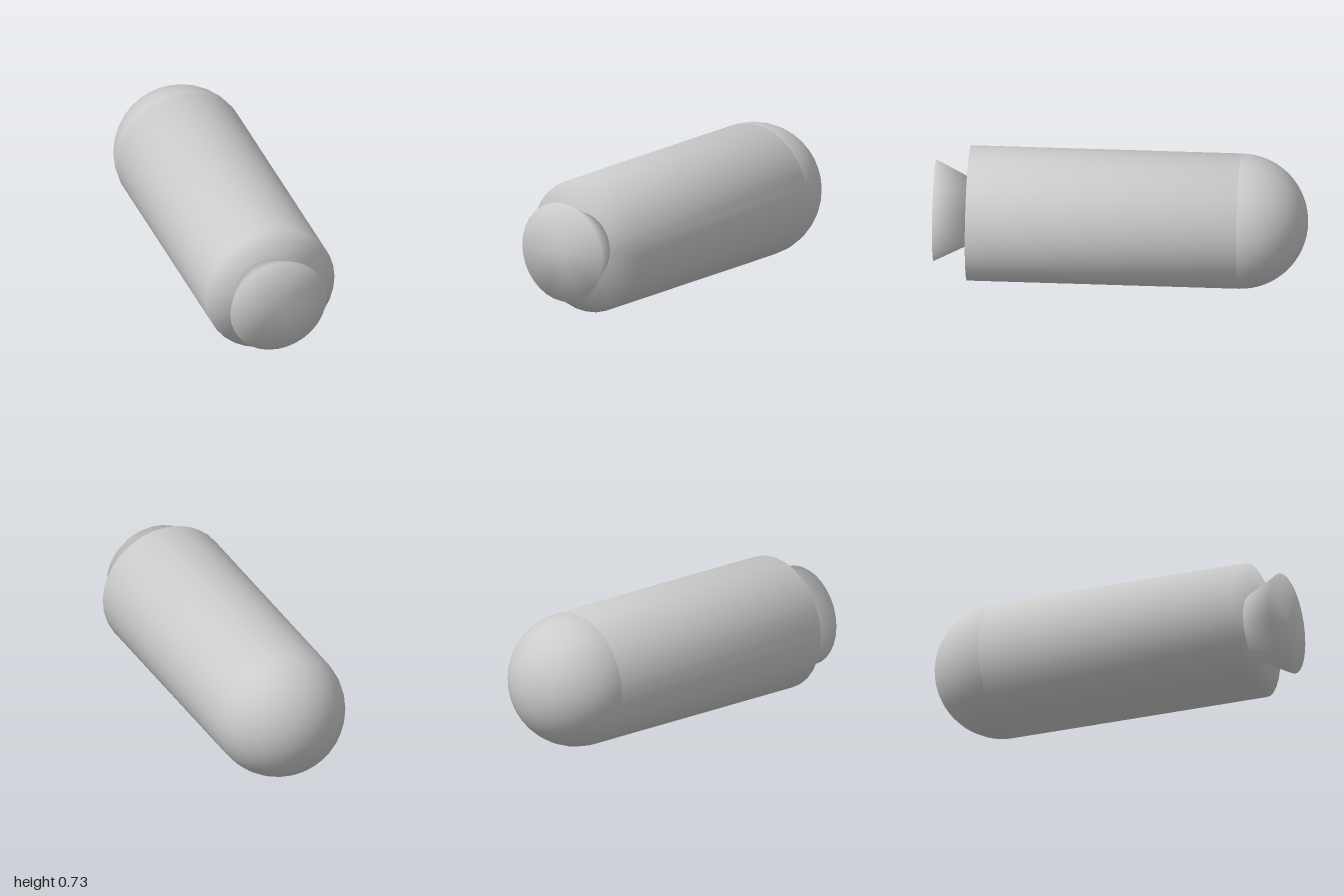
import * as THREE from 'three';

const SIDES = 32;
const RADIUS = 0.3635;
const BODY_FRONT = 0.817;
const BODY_BACK = -0.6365;

const material = new THREE.MeshStandardMaterial({ color: 0xcccccc });

// Closed solid turned around the z axis; profile is [radius, z] from back to front
function turned(name, profile) {
  const points = profile.map(([r, z]) => new THREE.Vector2(r, z));
  const geometry = new THREE.LatheGeometry(points, SIDES).rotateX(Math.PI / 2);
  const mesh = new THREE.Mesh(geometry, material);
  mesh.name = name;
  return mesh;
}

export function createModel() {
  const model = new THREE.Group();
  model.name = 'rocket';

  // Cylindrical hull, shaded softly over its end rims
  const body = turned('body', [
    [0, BODY_BACK], [RADIUS, BODY_BACK], [RADIUS, BODY_FRONT], [0, BODY_FRONT],
  ]);
  body.position.y = RADIUS;

  // Flared nozzle, set slightly off the hull's axis
  const nozzle = turned('nozzle', [
    [0, BODY_FRONT], [0.181, BODY_FRONT], [0.272, 1], [0, 1],
  ]);
  nozzle.position.set(-0.017, RADIUS + 0.001, 0);

  // Hemispherical nose pointing to -z
  const dome = new THREE.SphereGeometry(RADIUS, SIDES, 16, 0, Math.PI * 2, 0, Math.PI / 2);
  const nose = new THREE.Mesh(dome.rotateX(-Math.PI / 2), material);
  nose.name = 'nose';
  nose.position.set(0, RADIUS, BODY_BACK);

  model.add(body, nozzle, nose);
  return model;
}
